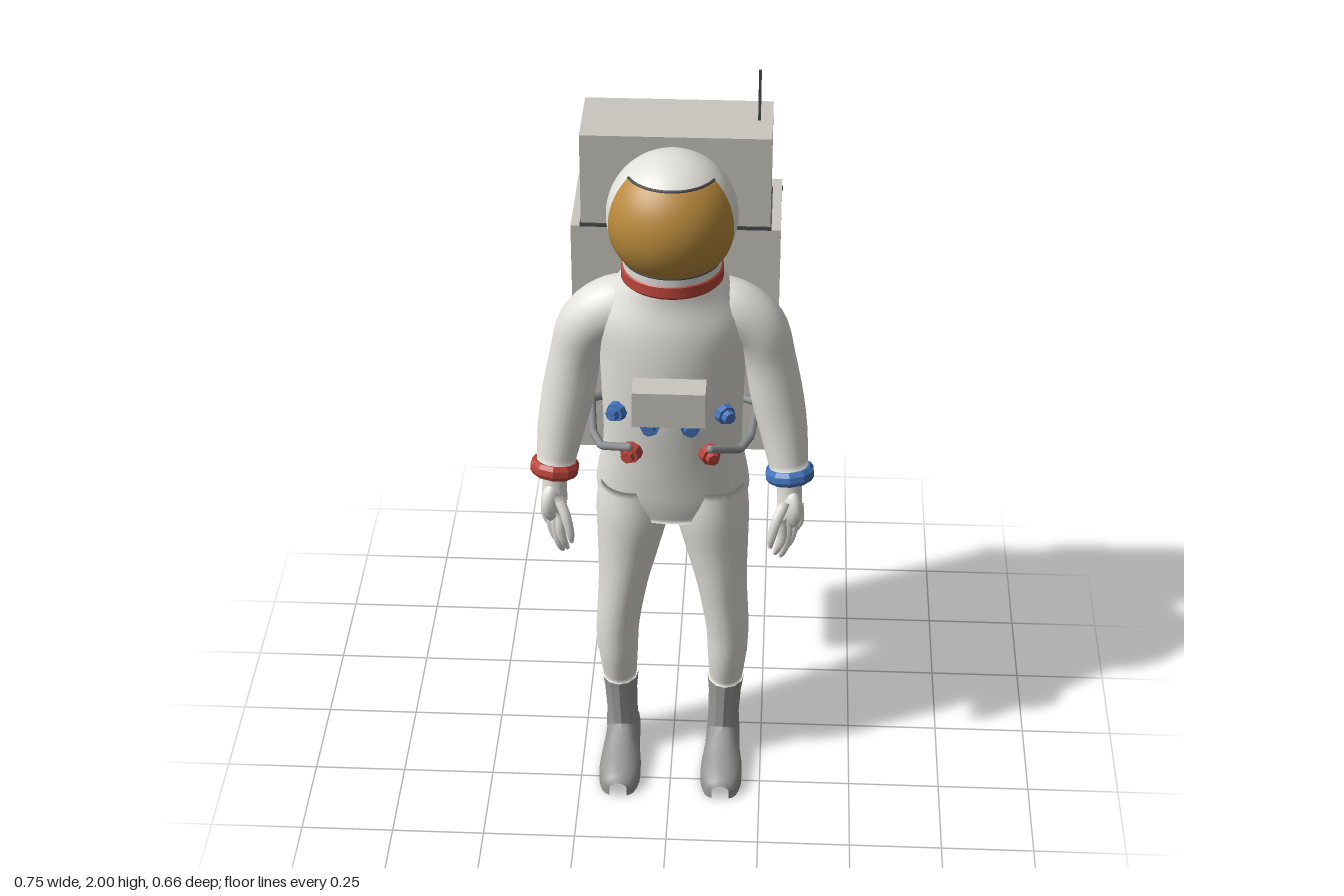
import * as THREE from 'three';
import { toCreasedNormals } from 'three/addons/utils/BufferGeometryUtils.js';

const V = (x, y, z) => new THREE.Vector3(x, y, z);

function mat(name, color) {
  const m = new THREE.MeshStandardMaterial({ color });
  m.name = name;
  return m;
}

// smooth interpolation of a small table of rows into n + 1 rows
function smooth(rows, n) {
  const size = rows[0].length;
  const f = new THREE.CubicInterpolant(rows.map((_, i) => i), rows.flat(), size, new Array(size));
  return Array.from({ length: n + 1 }, (_, i) => [...f.evaluate((i / n) * (rows.length - 1))]);
}

// skin over rings of points; closed rings get end caps
function loft(rings, closed = true) {
  const m = rings[0].length, pos = [], idx = [];
  rings.forEach(r => r.forEach(p => pos.push(p.x, p.y, p.z)));
  for (let i = 0; i < rings.length - 1; i++) {
    for (let j = 0; j < (closed ? m : m - 1); j++) {
      const a = i * m + j, b = i * m + (j + 1) % m;
      idx.push(a, a + m, b, b, a + m, b + m);
    }
  }
  if (closed) [0, rings.length - 1].forEach((r, end) => {
    const c = rings[r].reduce((s, p) => s.add(p), V(0, 0, 0)).divideScalar(m);
    const k = pos.length / 3;
    pos.push(c.x, c.y, c.z);
    for (let j = 0; j < m; j++) {
      const a = r * m + j, b = r * m + (j + 1) % m;
      end ? idx.push(k, a, b) : idx.push(k, b, a);
    }
  });
  const g = new THREE.BufferGeometry();
  g.setAttribute('position', new THREE.Float32BufferAttribute(pos, 3));
  g.setIndex(idx);
  g.computeVertexNormals();
  return g;
}

// horizontal elliptical ring from a row [y, x, z, halfX, halfZ]
function ellipse([y, x, z, hx, hz], n, from = 0, to = Math.PI * 2, grow = 0) {
  const full = to - from > 6.28;
  return Array.from({ length: n }, (_, j) => {
    const a = from + (to - from) * j / (full ? n : n - 1);
    return V(x + (hx + grow) * Math.cos(a), y, z + (hz + grow) * Math.sin(a));
  });
}

// limb along rows [x, y, z, radius]
function limb(rows, n, sides) {
  const pts = smooth(rows, n);
  const at = i => V(...pts[THREE.MathUtils.clamp(i, 0, n)].slice(0, 3));
  return loft(pts.map((p, i) => {
    const T = at(i + 1).sub(at(i - 1)).normalize();
    const B = V(0, 0, 1).addScaledVector(T, -T.z).normalize();
    const N = T.clone().cross(B);
    return Array.from({ length: sides }, (_, j) => {
      const a = j / sides * Math.PI * 2;
      return at(i).addScaledVector(N, p[3] * Math.cos(a)).addScaledVector(B, p[3] * Math.sin(a));
    });
  }));
}

export function createModel() {
  const root = new THREE.Group();
  root.name = 'astronaut';
  const suit = mat('suit white', 0xe2e1db), pack = mat('pack grey', 0xc9c7bf);
  const gold = mat('visor gold', 0xb98a3c), red = mat('red', 0xb9443a);
  const blue = mat('blue', 0x4474bc), boot = mat('boot grey', 0x979795);
  const dark = mat('dark trim', 0x4a4c4e), hose = mat('hose grey', 0x8b8d8e);

  const add = (name, geo, m, x = 0, y = 0, z = 0) => {
    const mesh = new THREE.Mesh(geo, m);
    mesh.name = name;
    mesh.position.set(x, y, z);
    root.add(mesh);
    return mesh;
  };
  const box = (name, m, x0, x1, y0, y1, z0, z1) =>
    add(name, new THREE.BoxGeometry(x1 - x0, y1 - y0, z1 - z0), m, (x0 + x1) / 2, (y0 + y1) / 2, (z0 + z1) / 2);

  // torso
  const torso = [
    [0.84, 0, 0.1, 0.17, 0.095], [0.9, 0, 0.092, 0.202, 0.115], [0.97, 0, 0.092, 0.197, 0.123],
    [1.06, 0, 0.098, 0.182, 0.128], [1.2, 0, 0.1, 0.185, 0.143], [1.34, 0, 0.102, 0.19, 0.147],
    [1.44, 0, 0.1, 0.195, 0.142], [1.52, 0, 0.098, 0.155, 0.125], [1.58, 0, 0.112, 0.11, 0.11]];
  add('torso', loft(smooth(torso, 32).map(r => ellipse(r, 32))), suit);

  // helmet, visor and neck ring
  const hy = 1.737, hz = 0.122, half = 1.17;
  add('helmet', new THREE.SphereGeometry(0.165, 48, 32), suit, 0, hy, hz);
  add('collar', new THREE.CylinderGeometry(0.126, 0.124, 0.05, 40), suit, 0, 1.602, 0.116);
  const visor = new THREE.SphereGeometry(0.169, 36, 24, Math.PI / 2 - half, half * 2, 0.745, 1.57);
  add('visor', visor, gold, 0, hy, hz);
  [0.745, 2.315].forEach(t => {
    const rim = new THREE.TorusGeometry(0.168 * Math.sin(t), 0.004, 6, 32, half * 2);
    rim.rotateZ(Math.PI / 2 - half).rotateX(Math.PI / 2);
    add('visorRim', rim, dark, 0, hy + 0.168 * Math.cos(t), hz);
  });
  const ring = [[0, -0.022], [0.122, -0.022], [0.13, -0.014], [0.13, 0.014], [0.122, 0.022], [0, 0.022]];
  const neck = new THREE.LatheGeometry(ring.map(p => new THREE.Vector2(...p)), 32);
  add('neckRing', toCreasedNormals(neck, 0.5), red, 0, 1.575, 0.114).rotation.x = -0.04;

  // backpack
  box('backpack', pack, -0.27, 0.27, 0.92, 1.6, -0.325, -0.05);
  box('upperPack', pack, -0.243, 0.243, 1.61, 1.86, -0.261, -0.05);
  box('upperPackBase', dark, -0.246, 0.246, 1.6, 1.61, -0.264, -0.047);
  [0.938, 1.572].forEach(y => box('packStrip', dark, -0.272, 0.272, y - 0.006, y + 0.006, -0.331, -0.323));
  box('antenna', dark, 0.205, 0.212, 1.86, 2, -0.158, -0.152);

  // chest unit
  box('chestUnit', pack, -0.093, 0.093, 1.235, 1.335, 0.252, 0.325);

  // arms, legs and fittings, once per side
  for (const s of [1, -1]) {
    const mx = rows => rows.map(([x, ...r]) => [s * x, ...r]);

    const arm = [[0.06, 1.468, 0.09, 0.07], [0.15, 1.455, 0.095, 0.078], [0.22, 1.4, 0.097, 0.074],
      [0.25, 1.31, 0.095, 0.067], [0.27, 1.2, 0.096, 0.069], [0.29, 1.1, 0.11, 0.063], [0.308, 0.99, 0.138, 0.05]];
    add('arm', limb(mx(arm), 30, 20), suit);

    // wrist cuff
    const cuffProfile = [[0.046, -0.02], [0.058, -0.02], [0.066, -0.008], [0.066, 0.008], [0.058, 0.02], [0.046, 0.02], [0.046, -0.02]];
    const cuffGeo = new THREE.LatheGeometry(cuffProfile.map(p => new THREE.Vector2(...p)), 10);
    const cuff = add('wristCuff', toCreasedNormals(cuffGeo, 0.3), s > 0 ? blue : red, s * 0.31, 0.978, 0.138);
    cuff.rotation.set(-0.22, 0, s * 0.1);

    // glove with four fingers and a thumb
    const palm = new THREE.SphereGeometry(1, 18, 12);
    palm.scale(0.028, 0.062, 0.049).rotateY(s * 0.5);
    add('palm', palm, suit, s * 0.312, 0.885, 0.16);
    add('wrist', limb(mx([[0.308, 0.99, 0.138, 0.04], [0.31, 0.94, 0.148, 0.033], [0.312, 0.88, 0.158, 0.034]]), 6, 14), suit);
    for (let i = 0; i < 4; i++) {
      const x = 0.335 - 0.015 * i, z = 0.122 + 0.025 * i, tip = [0.765, 0.74, 0.73, 0.755][i];
      add('finger', limb(mx([[x, 0.87, z, 0.014], [x + 0.004, 0.82, z + 0.006, 0.013],
        [x - 0.004, tip + 0.03, z + 0.007, 0.011], [x - 0.014, tip, z, 0.006]]), 9, 8), suit);
    }
    add('thumb', limb(mx([[0.3, 0.915, 0.185, 0.015], [0.278, 0.87, 0.21, 0.014],
      [0.266, 0.82, 0.22, 0.011], [0.264, 0.79, 0.218, 0.006]]), 9, 8), suit);

    // leg and curved knee patch
    const leg = smooth([[0.25, 0.148, 0.091, 0.046, 0.06], [0.35, 0.151, 0.103, 0.054, 0.072],
      [0.45, 0.15, 0.107, 0.059, 0.077], [0.6, 0.133, 0.102, 0.069, 0.093], [0.72, 0.118, 0.1, 0.085, 0.1],
      [0.84, 0.105, 0.1, 0.099, 0.107], [0.94, 0.105, 0.095, 0.09, 0.105]], 30)
      .map(([y, x, ...r]) => [y, s * x, ...r]);
    add('leg', loft(leg.map(r => ellipse(r, 24))), suit);
    const [from, to] = s > 0 ? [0.4, 1.85] : [Math.PI - 1.85, Math.PI - 0.4];
    const patchRows = leg.filter(r => r[0] > 0.36 && r[0] < 0.51);
    add('kneePatch', loft(patchRows.map(r => ellipse(r, 12, from, to, 0.004)), false), suit);

    // boot shaft and foot
    const shaft = [[0.06, 0.143, 0.09, 0.046, 0.066], [0.12, 0.143, 0.09, 0.043, 0.063],
      [0.2, 0.146, 0.092, 0.045, 0.062], [0.255, 0.148, 0.092, 0.051, 0.064]];
    add('bootShaft', toCreasedNormals(loft(shaft.map(([y, x, ...r]) => ellipse([y, s * x, ...r], 12))), 0.4), boot);
    const foot = [[0.328, 0.024, 0.042], [0.315, 0.042, 0.054], [0.27, 0.056, 0.07], [0.2, 0.056, 0.09],
      [0.15, 0.05, 0.112], [0.08, 0.047, 0.125], [0.035, 0.046, 0.1], [0.018, 0.032, 0.06]];
    const footRings = smooth(foot, 14).map(([z, w, h]) => Array.from({ length: 16 }, (_, j) => {
      const a = j / 16 * Math.PI * 2, c = Math.cos(a), q = Math.sin(a);
      const x = q < 0 ? THREE.MathUtils.clamp(1.4 * c, -1, 1) : c;
      return V(s * 0.142 + w * x, q > 0 ? 0.025 + (h - 0.025) * q : 0.025 * (1 + Math.max(-1, 2.7 * q)), z);
    }));
    add('foot', toCreasedNormals(loft(footRings), 0.6), boot);

    // air hose from the pack around to the front
    const path = new THREE.CurvePath();
    const pts = [[0.17, 1.085, -0.055], [0.22, 1.1, -0.01], [0.216, 1.11, 0.05], [0.206, 1.1, 0.15],
      [0.18, 1.097, 0.21], [0.105, 1.135, 0.27]].map(([x, y, z]) => V(s * x, y, z));
    for (let i = 0; i < pts.length - 1; i++) path.add(new THREE.LineCurve3(pts[i], pts[i + 1]));
    add('hose', new THREE.TubeGeometry(path, 48, 0.011, 8), hose);
    add('hoseEnd', new THREE.SphereGeometry(0.011, 8, 6), hose, s * 0.105, 1.135, 0.27);

    // hose connectors on the chest
    [[0.05, 1.182, 0.232, blue, 0.15], [0.135, 1.202, 0.2, blue, 0.6], [0.1, 1.086, 0.218, red, 0.4]].forEach(([x, y, z, m, turn]) => {
      const knob = new THREE.Group();
      knob.name = 'connector';
      [[0.028, 0.035, 0], [0.018, 0.02, 0.024]].forEach(([r, h, d]) => {
        const part = new THREE.Mesh(toCreasedNormals(new THREE.CylinderGeometry(r * 0.9, r, h, 8).rotateX(Math.PI / 2), 0.3), m);
        part.name = 'connectorRing';
        part.position.z = d;
        knob.add(part);
      });
      knob.position.set(s * x, y, z);
      knob.rotation.y = s * turn;
      root.add(knob);
    });
  }
  return root;
}
